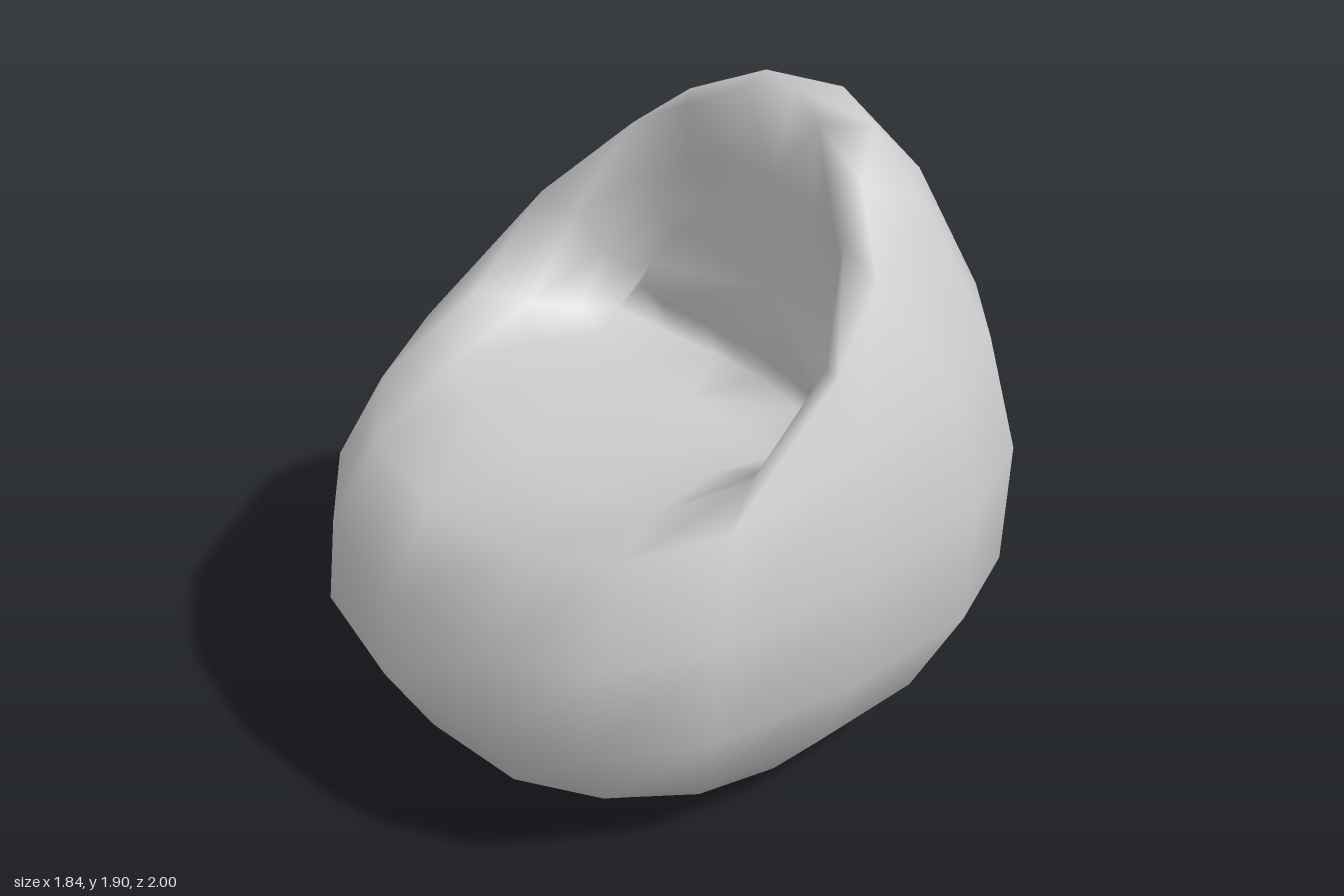
import * as THREE from 'three';

const HALF = 8; // steps from front centre round to back centre
const SEGMENTS = HALF * 2;

// Outer shell rings: half width, then height at front/side/back, then depth at front/back
const SHELL = [
  [0.56, 0, 0, 0, 0.56, -0.55],
  [0.78, 0.2, 0.25, 0.26, 0.85, -0.82],
  [0.92, 0.45, 0.53, 0.55, 1.0, -0.98],
  [0.92, 0.71, 0.88, 0.94, 0.97, -1.0],
  [0.82, 0.96, 1.18, 1.31, 0.82, -0.92],
];

// Half rings [x, y, z] from the front of the seat, over the arm, to the back
const OUTER_RIM = [[0, 1.03, 0.5], [0.3, 1.04, 0.48], [0.52, 1.05, 0.42], [0.69, 1.16, 0.22],
  [0.72, 1.41, -0.05], [0.6, 1.58, -0.28], [0.47, 1.7, -0.56], [0.25, 1.67, -0.73], [0, 1.63, -0.8]];
const CREST = [[0, 1.03, 0.15], [0.27, 1.035, 0.16], [0.46, 1.06, 0.16], [0.6, 1.11, 0.08],
  [0.61, 1.37, -0.1], [0.5, 1.67, -0.24], [0.4, 1.78, -0.38], [0.25, 1.85, -0.55], [0, 1.86, -0.64]];
const INNER_RIM = [[0, 1.0, -0.1], [0.25, 1.0, -0.1], [0.44, 1.02, -0.08], [0.56, 1.06, -0.08],
  [0.56, 1.24, -0.18], [0.47, 1.5, -0.28], [0.33, 1.77, -0.31], [0.17, 1.86, -0.41], [0, 1.9, -0.46]];
const CREASE = [[0, 0.97, -0.36], [0.22, 0.97, -0.34], [0.4, 0.98, -0.29], [0.52, 1.04, -0.19],
  [0.53, 1.16, -0.24], [0.46, 1.36, -0.31], [0.36, 1.55, -0.36], [0.19, 1.62, -0.38], [0, 1.64, -0.39]];
const BACKREST = [[0, 1.08, -0.32], [0.2, 1.08, -0.31], [0.38, 1.09, -0.27], [0.47, 1.13, -0.24],
  [0.46, 1.2, -0.28], [0.4, 1.32, -0.33], [0.28, 1.46, -0.36], [0.15, 1.5, -0.37], [0, 1.52, -0.38]];

// Slightly squared oval, with its height blended from front to side to back
function shellHalfRing([width, yFront, ySide, yBack, zFront, zBack]) {
  const squared = (v) => Math.sign(v) * Math.pow(Math.abs(v), 0.81);
  return Array.from({ length: HALF + 1 }, (_, i) => {
    const angle = (i / HALF) * Math.PI;
    const s = squared(Math.sin(angle));
    const c = squared(Math.cos(angle));
    const y = ySide + Math.abs(c) * ((c > 0 ? yFront : yBack) - ySide);
    return [width * s, y, (zFront + zBack) / 2 + ((zFront - zBack) / 2) * c];
  });
}

// Complete a half ring with its mirror image
function mirrorRing(half) {
  const other = half.slice(1, HALF).reverse().map(([x, y, z]) => [-x, y, z]);
  return [...half, ...other];
}

// Skin a stack of rings and close both ends with a centre point
function loft(rings, bottom, top) {
  const points = [...rings.flat(), bottom, top];
  const bottomIndex = points.length - 2;
  const topIndex = points.length - 1;
  const last = (rings.length - 1) * SEGMENTS;
  const index = [];
  for (let i = 0; i < SEGMENTS; i++) {
    const j = (i + 1) % SEGMENTS;
    for (let r = 0; r < last; r += SEGMENTS) {
      const a = r + i, b = r + j, c = a + SEGMENTS, d = b + SEGMENTS;
      // Diagonals mirror left to right
      if (i < HALF) index.push(a, b, d, a, d, c);
      else index.push(a, b, c, b, d, c);
    }
    index.push(bottomIndex, j, i, topIndex, last + i, last + j);
  }
  const geometry = new THREE.BufferGeometry();
  geometry.setAttribute('position', new THREE.Float32BufferAttribute(points.flat(), 3));
  geometry.setIndex(index);
  geometry.computeVertexNormals();
  return geometry;
}

export function createModel() {
  const group = new THREE.Group();
  group.name = 'beanBagChair';

  // One soft skin: base, shell, arms, seat and backrest hollow
  const halves = [...SHELL.map(shellHalfRing), OUTER_RIM, CREST, INNER_RIM, CREASE, BACKREST];
  const cushion = new THREE.Mesh(
    loft(halves.map(mirrorRing), [0, 0, 0], [0, 1.28, -0.36]),
    new THREE.MeshStandardMaterial({ color: 0xcccccc }),
  );
  cushion.name = 'cushion';
  group.add(cushion);
  return group;
}
